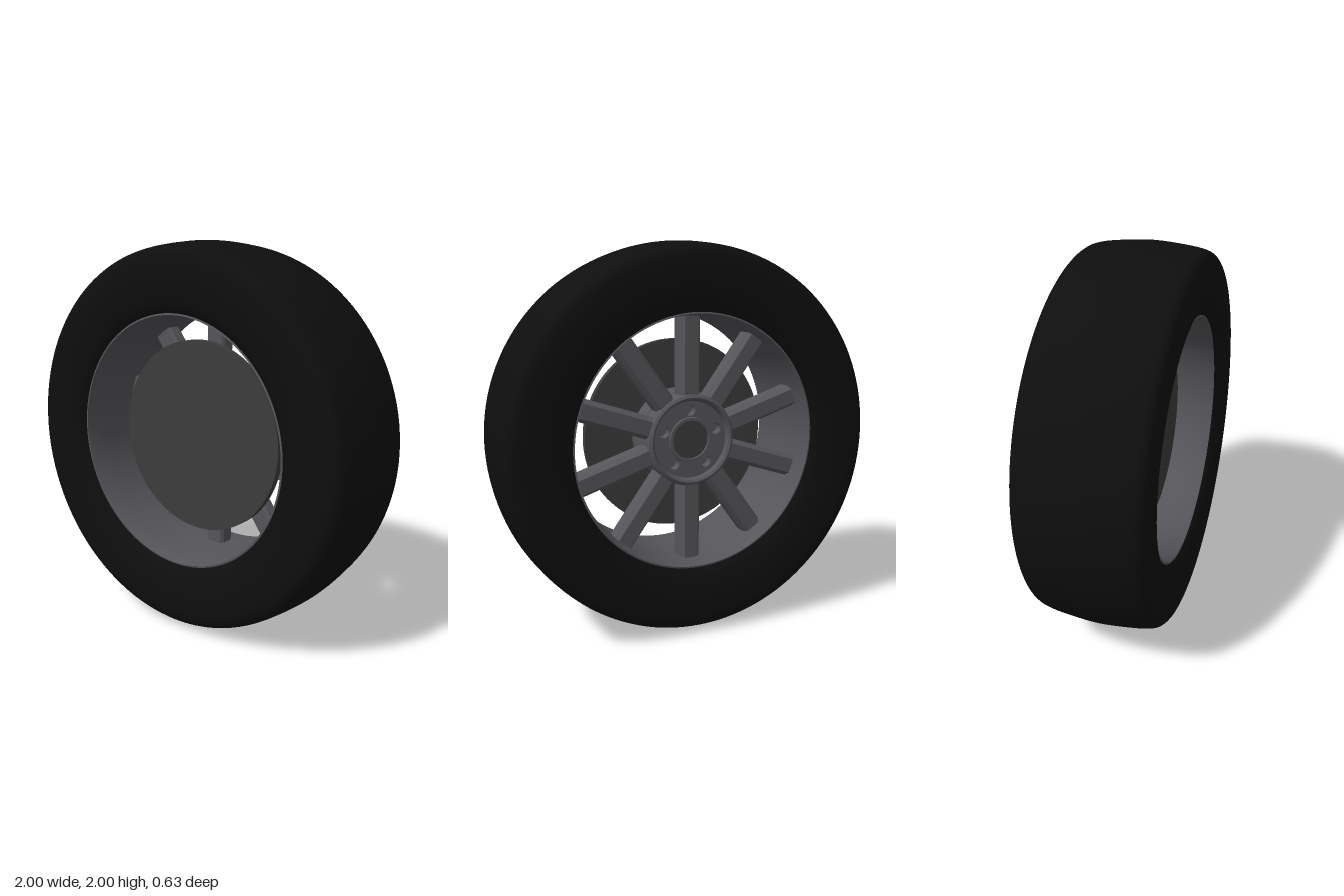
import * as THREE from 'three';
import { toCreasedNormals } from 'three/addons/utils/BufferGeometryUtils.js';

const paint = (color) => new THREE.MeshStandardMaterial({ color });
const rubber = paint(0x0e0e0e);
const alloy = paint(0x55555a);
const steel = paint(0x3c3c3c);

const vec = ([x, y]) => new THREE.Vector2(x, y);

// Revolves a profile of [radius, z] points about the wheel axle (z)
function revolve(name, points, material, crease = 0.6, segments = 96) {
  const lathe = new THREE.LatheGeometry(points.map(vec), segments).rotateX(Math.PI / 2);
  const mesh = new THREE.Mesh(toCreasedNormals(lathe, crease), material);
  mesh.name = name;
  return mesh;
}

export function createModel() {
  const model = new THREE.Group();
  model.name = 'wheel';
  const wheel = new THREE.Group();
  wheel.name = 'wheelAssembly';
  wheel.position.y = 1;
  model.add(wheel);

  // Tire: mirrored half section from bead over the shoulder to the crown
  const half = [[0.65, 0.262], [0.69, 0.288], [0.76, 0.306], [0.84, 0.313], [0.905, 0.311],
    [0.95, 0.295], [0.974, 0.255], [0.99, 0.15]];
  const section = [...half.map(([r, z]) => [r, -z]), [1, 0], ...[...half].reverse()];
  const curve = new THREE.SplineCurve(section.map(vec));
  const tirePoints = curve.getPoints(64).map((p) => [p.x, p.y]);
  wheel.add(revolve('tire', [...tirePoints, [0.65, -0.262]], rubber, 0.8, 128));

  // Rim: thin lips with a slightly waisted barrel
  wheel.add(revolve('rim', [[0.652, -0.264], [0.652, 0.264], [0.643, 0.266], [0.638, 0.25],
    [0.631, 0.15], [0.628, 0], [0.629, -0.12], [0.634, -0.2], [0.64, -0.25], [0.644, -0.266],
    [0.652, -0.264]], alloy, 0.6, 128));

  // Ten bevelled spokes
  const spokeShape = new THREE.Shape([[-0.045, 0.06], [0.045, 0.06], [0.057, 0.075], [0.057, 0.135],
    [0.037, 0.165], [-0.037, 0.165], [-0.057, 0.135], [-0.057, 0.075]].map(vec));
  const spokeGeometry = new THREE.ExtrudeGeometry(spokeShape, { depth: 0.43, bevelEnabled: false })
    .rotateX(-Math.PI / 2).translate(0, 0.21, 0);
  const spokes = new THREE.Group();
  spokes.name = 'spokes';
  for (let i = 0; i < 10; i++) {
    const spoke = new THREE.Mesh(spokeGeometry, alloy);
    spoke.name = 'spoke';
    spoke.rotation.z = (i * Math.PI) / 5;
    spokes.add(spoke);
  }
  wheel.add(spokes);

  // Hub shell with a rounded lip around the recessed face
  wheel.add(revolve('hub', [[0.2, -0.05], [0.2, -0.15], [0.208, -0.172], [0.22, -0.18],
    [0.234, -0.172], [0.24, -0.155], [0.24, -0.05], [0.2, -0.05]].reverse().map(([r, z]) => [r, z])
    .reverse(), alloy));

  // Recessed hub face pierced by the bore and five lug holes
  const face = new THREE.Shape().absarc(0, 0, 0.205, 0, Math.PI * 2, false);
  face.holes.push(new THREE.Path().absarc(0, 0, 0.1, 0, Math.PI * 2, true));
  const nutGeometry = new THREE.CylinderGeometry(0.017, 0.017, 0.03, 6).rotateX(Math.PI / 2);
  const nuts = new THREE.Group();
  nuts.name = 'lugNuts';
  for (let i = 0; i < 5; i++) {
    const angle = Math.PI / 2 + (i * Math.PI * 2) / 5;
    const x = 0.152 * Math.cos(angle), y = 0.152 * Math.sin(angle);
    face.holes.push(new THREE.Path().absarc(x, y, 0.028, 0, Math.PI * 2, true));
    const nut = new THREE.Mesh(nutGeometry, alloy);
    nut.name = 'lugNut';
    nut.position.set(x, y, -0.105);
    nuts.add(nut);
  }
  const faceGeometry = new THREE.ExtrudeGeometry(face, { depth: 0.05, bevelEnabled: false, curveSegments: 32 })
    .translate(0, 0, -0.15);
  const hubFace = new THREE.Mesh(toCreasedNormals(faceGeometry, 0.6), alloy);
  hubFace.name = 'hubFace';
  wheel.add(hubFace, nuts);

  // Raised collar and cap in the centre bore
  wheel.add(revolve('boreCollar', [[0.12, -0.145], [0.12, -0.1], [0.1, -0.1], [0.1, -0.16],
    [0.115, -0.16], [0.12, -0.145]], alloy));
  wheel.add(revolve('centreCap', [[0, -0.145], [0.1, -0.145], [0.1, -0.1], [0, -0.1]], steel));

  // Brake disc with its mounting hat
  wheel.add(revolve('brakeHat', [[0, -0.09], [0.235, -0.09], [0.248, -0.078], [0.248, 0.05]], alloy));
  wheel.add(revolve('brakeDisc', [[0, 0.04], [0.505, 0.04], [0.505, 0.08], [0, 0.08]], steel));

  return model;
}
